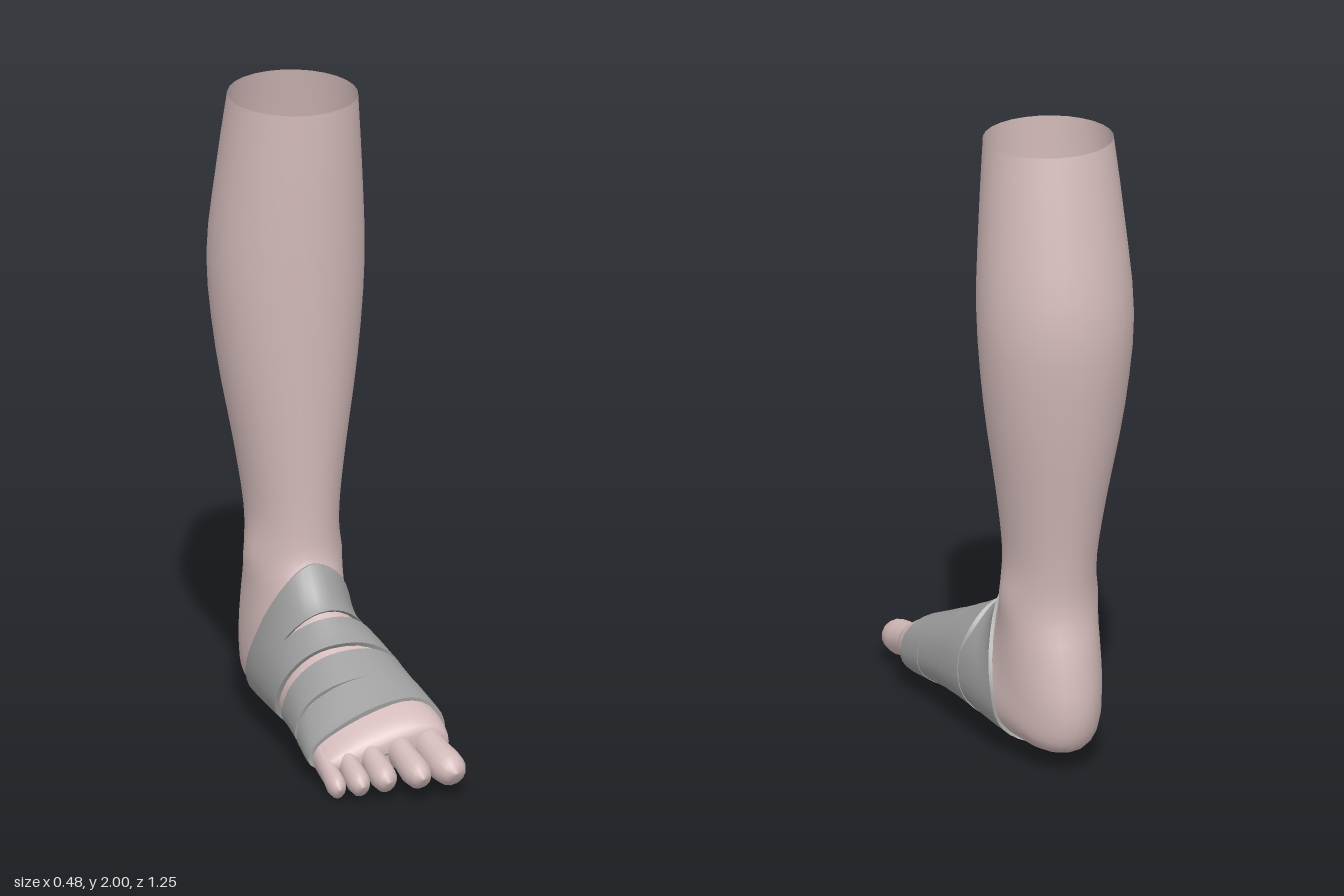
import * as THREE from 'three';
import { toCreasedNormals } from 'three/addons/utils/BufferGeometryUtils.js';

// Rings from knee to ball of foot: front/top point (z, y), back/bottom point (z, y), half width
const RINGS = [
  [-0.12, 1.99, -0.52, 2, 0.2],
  [-0.122, 1.75, -0.575, 1.75, 0.222],
  [-0.13, 1.45, -0.625, 1.45, 0.24],
  [-0.14, 1.15, -0.595, 1.15, 0.215],
  [-0.15, 0.85, -0.54, 0.85, 0.165],
  [-0.155, 0.67, -0.505, 0.65, 0.14],
  [-0.15, 0.55, -0.495, 0.5, 0.14],
  [-0.12, 0.49, -0.53, 0.36, 0.145],
  [-0.09, 0.45, -0.555, 0.2, 0.15],
  [-0.06, 0.42, -0.535, 0.09, 0.155],
  [-0.03, 0.4, -0.47, 0.05, 0.16],
  [0, 0.38, -0.33, 0.045, 0.168],
  [0.05, 0.35, -0.15, 0.055, 0.175],
  [0.12, 0.315, 0.03, 0.06, 0.18],
  [0.22, 0.265, 0.2, 0.045, 0.193],
  [0.32, 0.215, 0.32, 0.035, 0.203],
  [0.385, 0.185, 0.385, 0.045, 0.198],
  [0.42, 0.15, 0.42, 0.065, 0.17],
  [0.425, 0.11, 0.425, 0.1, 0.02],
];
const LAST = RINGS.length - 1;
const clamp = THREE.MathUtils.clamp;

// Smooth interpolation between rings
function ringAt(t) {
  const i = Math.min(Math.floor(t), LAST - 1), f = t - i;
  const [p, a, b, n] = [-1, 0, 1, 2].map((k) => RINGS[clamp(i + k, 0, LAST)]);
  return a.map((v, k) => {
    const m0 = (b[k] - p[k]) / 2, m1 = (n[k] - v) / 2, d = b[k] - v;
    return v + f * (m0 + f * (3 * d - 2 * m0 - m1 + f * (m0 + m1 - 2 * d)));
  });
}

// Point on the limb; angle 0 is the shin or instep, a quarter turn is the +x side
function limbPoint(t, angle, offset = 0) {
  const [az, ay, bz, by, w] = ringAt(t);
  const c = Math.cos(angle), s = Math.sin(angle);
  // the foot grows boxier, narrower on top and lower on the little toe side
  const foot = clamp((t - 8.5) / 4.5, 0, 1);
  const tilt = 0.28 * clamp((t - 9) / 6, 0, 1) ** 1.5;
  const round = (v) => Math.sign(v) * Math.abs(v) ** (1 - 0.16 * foot);
  const x = w * round(s) * (1 - 0.18 * foot * c);
  const out = new THREE.Vector3(x, round(c) * (ay - by) / 2, round(c) * (az - bz) / 2);
  out.addScaledVector(out.clone().normalize(), offset);
  out.x += 0.012 * foot;
  out.y += (ay + by) / 2 + tilt * x * (1 + c) / 2;
  out.z += (az + bz) / 2 + tilt * 0.3 * x;
  // ankle bones
  const bump = Math.exp(-(((out.y - 0.52) / 0.07) ** 2) - ((out.z + 0.32) / 0.07) ** 2);
  out.x += 0.014 * bump * s;
  return out;
}

// Closed tube of rows, each row being a loop of points
function loft(rows, sides, point) {
  const pos = [], index = [];
  for (let i = 0; i < rows; i++) {
    for (let j = 0; j < sides; j++) {
      pos.push(...point(i, (j / sides) * Math.PI * 2).toArray());
      if (i === rows - 1) continue;
      const a = i * sides + j, b = i * sides + (j + 1) % sides;
      index.push(a, a + sides, b, b, a + sides, b + sides);
    }
  }
  const g = new THREE.BufferGeometry();
  g.setAttribute('position', new THREE.Float32BufferAttribute(pos, 3));
  g.setIndex(index);
  g.computeVertexNormals();
  return g;
}

export function createModel() {
  const group = new THREE.Group();
  const skin = new THREE.MeshStandardMaterial({ color: 0xd2bab9, side: THREE.DoubleSide });
  skin.name = 'skin';
  const cloth = new THREE.MeshStandardMaterial({ color: 0x9c9c9c, side: THREE.DoubleSide });
  cloth.name = 'bandage grey';
  const add = (name, geometry, material) => {
    const mesh = new THREE.Mesh(geometry, material);
    mesh.name = name;
    group.add(mesh);
  };

  // Leg, heel and foot in one skin, open at the knee
  add('legAndFoot', loft(LAST * 3 + 1, 28, (i, a) => limbPoint(i / 3, a)), skin);

  // Toes, big to little: base x, tip x, tip z, half width, base y
  const toes = [
    [0.14, 0.152, 0.622, 0.056, 0.125],
    [0.05, 0.048, 0.615, 0.046, 0.12],
    [-0.035, -0.048, 0.572, 0.042, 0.107],
    [-0.105, -0.122, 0.545, 0.037, 0.093],
    [-0.165, -0.18, 0.502, 0.031, 0.078],
  ];
  // fraction along the toe, thickness factor: a slight waist, a pad and a rounded tip
  const toeRings = [[0, 0.95], [0.45, 0.88], [0.68, 0.97], [0.84, 0.9], [0.95, 0.6], [1, 0.01]];
  toes.forEach(([x0, x1, tip, r, y], n) => {
    const base = 0.35 - n * 0.008, height = 0.025 + 0.74 * r;
    add('toe' + (n + 1), loft(toeRings.length, 14, (i, a) => {
      const [f, k] = toeRings[i];
      return new THREE.Vector3(
        x0 + (x1 - x0) * f + Math.sin(a) * r * k,
        y - 0.04 * Math.min(1, f * 1.35) + Math.cos(a) * height * k * (1 - 0.2 * f),
        base + (tip - base) * f);
    }), skin);
  });

  // Bandages: each edge is p + b*s + c*s*s (s runs instep to sole), plus a sideways skew
  const bands = [
    ['ankleBandage', [6.2, 9.2, -4.4, 0], [9.5, 7, -4.6, 0.1], 0.012],
    ['instepBandage', [10.3, 3.4, -1.8, 0.3], [12.4, 0.9, -0.4, 0.35], 0.014],
    ['midfootBandage', [12.75, 0.5, -0.2, 0.15], [13.85, 0.2, -0.1, 0.15], 0.012],
    ['forefootBandage', [13.88, 0.2, -0.1, 0.02], [15.05, 0, 0, -0.1], 0.014],
  ];
  const edge = ([p, b, c, skew], a) => {
    const s = (1 - Math.cos(a)) / 2;
    return p + b * s + c * s * s + skew * Math.sin(a) + 0.03 * Math.sin(3 * a + p);
  };
  const steps = 10;
  for (const [name, from, to, thick] of bands) {
    const geometry = loft(steps + 3, 40, (i, a) => {
      const f = clamp((i - 1) / steps, 0, 1);
      const lip = i === 0 || i === steps + 2;
      const t = THREE.MathUtils.lerp(edge(from, a), edge(to, a), f);
      return limbPoint(t, a, lip ? -0.004 : thick);
    });
    add(name, toCreasedNormals(geometry, 0.8), cloth);
  }
  return group;
}
